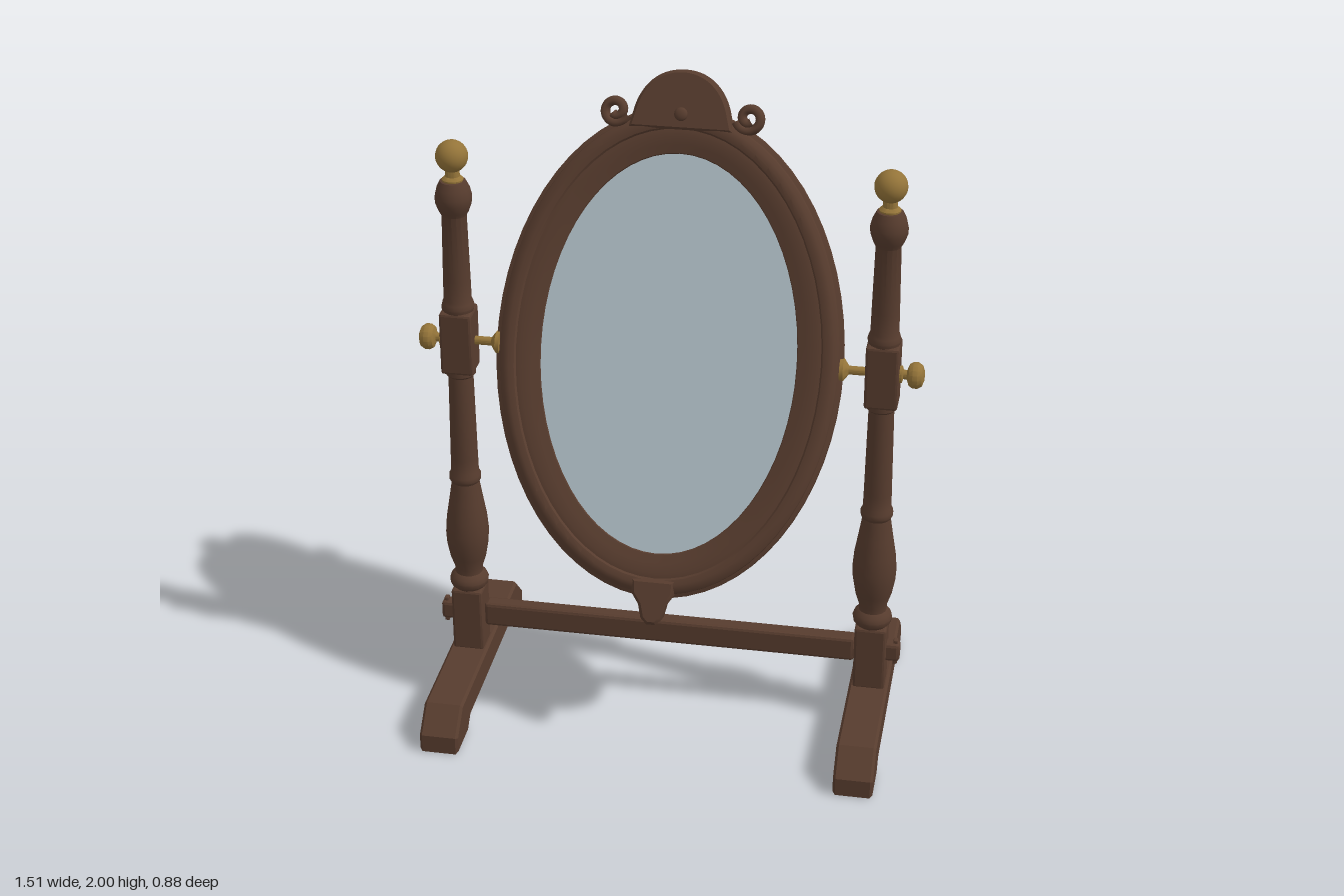
import * as THREE from 'three';
import { toCreasedNormals } from 'three/addons/utils/BufferGeometryUtils.js';
import { RoundedBoxGeometry } from 'three/addons/geometries/RoundedBoxGeometry.js';

const wood = new THREE.MeshStandardMaterial({ color: 0x573c2e });
wood.name = 'darkWood';
const brass = new THREE.MeshStandardMaterial({ color: 0x947439 });
brass.name = 'brass';
const glass = new THREE.MeshStandardMaterial({ color: 0xb0bec6 });
glass.name = 'mirrorGlass';

function add(parent, name, geometry, material, x = 0, y = 0, z = 0) {
  const mesh = new THREE.Mesh(geometry, material);
  mesh.name = name;
  mesh.position.set(x, y, z);
  parent.add(mesh);
  return mesh;
}

const points = (list) => list.map(([x, y]) => new THREE.Vector2(x, y));
const turned = (profile, sides = 16) =>
  toCreasedNormals(new THREE.LatheGeometry(points(profile), sides), 0.6);
const block = (w, h, d, r = 0.008) => toCreasedNormals(new RoundedBoxGeometry(w, h, d, 1, r), 0.3);

// Bevelled plate, centred on its thickness; the outline is the outer size
function plate(shape, depth, bevel) {
  const g = new THREE.ExtrudeGeometry(shape, {
    depth: depth - 2 * bevel, bevelEnabled: true, bevelThickness: bevel,
    bevelSize: bevel, bevelOffset: -bevel, bevelSegments: 1, curveSegments: 20,
  });
  g.translate(0, 0, bevel - depth / 2);
  return toCreasedNormals(g, 0.5);
}

// Lathe profile of (x radius, z) stretched to an oval with a constant rim width
function ovalRing(profile, extraHeight) {
  const g = new THREE.LatheGeometry(points(profile), 64);
  g.rotateX(Math.PI / 2);
  const p = g.attributes.position;
  for (let i = 0; i < p.count; i++) {
    const r = Math.hypot(p.getX(i), p.getY(i));
    p.setY(i, p.getY(i) * (r + extraHeight) / r);
  }
  return toCreasedNormals(g, 0.5);
}

function createFoot() {
  const half = [[0.275, 0.035], [0.31, 0], [0.44, 0], [0.44, 0.058], [0.365, 0.13]];
  const outline = [...half, ...half.map(([z, y]) => [-z, y]).reverse()];
  const g = plate(new THREE.Shape(points(outline)), 0.12, 0.008);
  return g.rotateY(-Math.PI / 2);
}

// One upright with its foot, finial, pivot hardware and tenon; outside is +x
function createSide(name) {
  const side = new THREE.Group();
  side.name = name;
  add(side, 'foot', createFoot(), wood);
  add(side, 'lowerPostBlock', block(0.098, 0.215, 0.098), wood, 0, 0.232);
  add(side, 'pivotBlock', block(0.098, 0.2, 0.098), wood, 0, 1.2);

  add(side, 'turnedLowerPost', turned([
    [0, 0.33], [0.044, 0.335], [0.058, 0.35], [0.061, 0.365], [0.056, 0.38], [0.043, 0.392],
    [0.043, 0.41], [0.056, 0.45], [0.065, 0.5], [0.067, 0.54], [0.063, 0.59], [0.053, 0.65],
    [0.045, 0.7], [0.043, 0.715], [0.049, 0.725], [0.049, 0.74], [0.043, 0.752], [0.042, 0.8],
    [0.038, 1.08], [0.046, 1.088], [0.046, 1.105], [0, 1.11],
  ]), wood);
  add(side, 'turnedUpperPost', turned([
    [0, 1.29], [0.046, 1.295], [0.05, 1.31], [0.046, 1.325], [0.042, 1.335], [0.041, 1.4],
    [0.037, 1.605], [0.045, 1.62], [0.054, 1.645], [0.055, 1.665], [0.049, 1.69],
    [0.038, 1.712], [0, 1.718],
  ]), wood);

  // Brass finial
  add(side, 'finialCollar', turned([
    [0, 1.7], [0.031, 1.708], [0.032, 1.718], [0.022, 1.727], [0.02, 1.75], [0, 1.752],
  ]), brass);
  add(side, 'finialBall', new THREE.SphereGeometry(0.048, 20, 14), brass, 0, 1.788);

  // Brass pivot: flange against the frame, rod, washer and round knob
  const pivot = turned([
    [0, -0.128], [0.034, -0.126], [0.034, -0.115], [0.022, -0.106], [0.013, -0.1],
    [0.013, 0.046], [0.026, 0.049], [0.026, 0.056], [0.014, 0.06], [0.014, 0.07],
    [0.032, 0.077], [0.039, 0.088], [0.039, 0.102], [0.031, 0.115], [0.015, 0.121], [0, 0.122],
  ]);
  pivot.rotateZ(-Math.PI / 2);
  add(side, 'pivotScrew', pivot, brass, 0, 1.2);

  // Stretcher tenon and the wedge through it
  add(side, 'tenon', block(0.06, 0.06, 0.044, 0.01), wood, 0.06, 0.245);
  add(side, 'tenonWedge', block(0.014, 0.085, 0.02, 0.003), wood, 0.076, 0.243);
  return side;
}

function createMirror() {
  const mirror = new THREE.Group();
  mirror.name = 'tiltingMirror';

  add(mirror, 'ovalFrame', ovalRing([
    [0.37, -0.024], [0.505, -0.024], [0.518, -0.016], [0.52, -0.004], [0.518, 0.008],
    [0.506, 0.014], [0.504, 0.022], [0.492, 0.032], [0.476, 0.036], [0.46, 0.032],
    [0.455, 0.026], [0.44, 0.028], [0.41, 0.022], [0.385, 0.016], [0.38, 0.008], [0.37, 0.008],
  ], 0.212), wood);

  const glassFace = new THREE.CircleGeometry(1, 64).scale(0.383, 0.597, 1);
  add(mirror, 'glassPanel', glassFace, glass, 0, 0, 0.012);

  const back = new THREE.CylinderGeometry(1, 1, 0.03, 64);
  back.rotateX(Math.PI / 2).scale(0.425, 0.635, 1);
  add(mirror, 'backBoard', back, wood, 0, 0, -0.012);

  // Domed crest with a small boss
  const dome = new THREE.Shape();
  dome.moveTo(-0.153, 0.665);
  dome.lineTo(0.153, 0.665);
  dome.lineTo(0.142, 0.71);
  dome.bezierCurveTo(0.125, 0.79, 0.07, 0.838, 0, 0.838);
  dome.bezierCurveTo(-0.07, 0.838, -0.125, 0.79, -0.142, 0.71);
  add(mirror, 'crest', plate(dome, 0.06, 0.008), wood, 0, 0, 0.01);
  const boss = new THREE.SphereGeometry(0.02, 14, 10).scale(1, 1, 0.5);
  add(mirror, 'crestBoss', boss, wood, 0, 0.71, 0.041);

  // Scrolls either side of the crest
  for (const s of [1, -1]) {
    const spiral = [];
    for (let i = 0; i <= 18; i++) {
      const a = -0.9 * Math.PI + i * 0.145 * Math.PI;
      const r = 0.041 - 0.0015 * i;
      spiral.push(new THREE.Vector3(s * (0.197 + r * Math.cos(a)), 0.71 + r * Math.sin(a), 0));
    }
    const tube = new THREE.TubeGeometry(new THREE.CatmullRomCurve3(spiral), 40, 0.014, 8);
    tube.scale(1, 1, 2.3);
    add(mirror, s > 0 ? 'leftScroll' : 'rightScroll', tube, wood, 0, 0, 0.008);
  }

  // Tapered drop under the frame
  const drop = new THREE.Shape(points([
    [-0.067, -0.668], [-0.064, -0.715], [-0.042, -0.748], [-0.032, -0.79], [-0.014, -0.808],
    [0.014, -0.808], [0.032, -0.79], [0.042, -0.748], [0.064, -0.715], [0.067, -0.668],
  ]));
  add(mirror, 'bottomDrop', plate(drop, 0.062, 0.01), wood, 0, 0, 0.009);

  mirror.position.y = 1.2;
  mirror.rotation.x = -THREE.MathUtils.degToRad(20);
  return mirror;
}

export function createModel() {
  const model = new THREE.Group();
  model.name = 'dressingMirror';

  const left = createSide('leftStand');
  left.position.x = 0.635;
  const right = createSide('rightStand');
  right.position.x = -0.635;
  right.rotation.y = Math.PI;
  model.add(left, right);

  add(model, 'stretcher', block(1.17, 0.08, 0.05, 0.01), wood, 0, 0.245);
  model.add(createMirror());
  return model;
}
